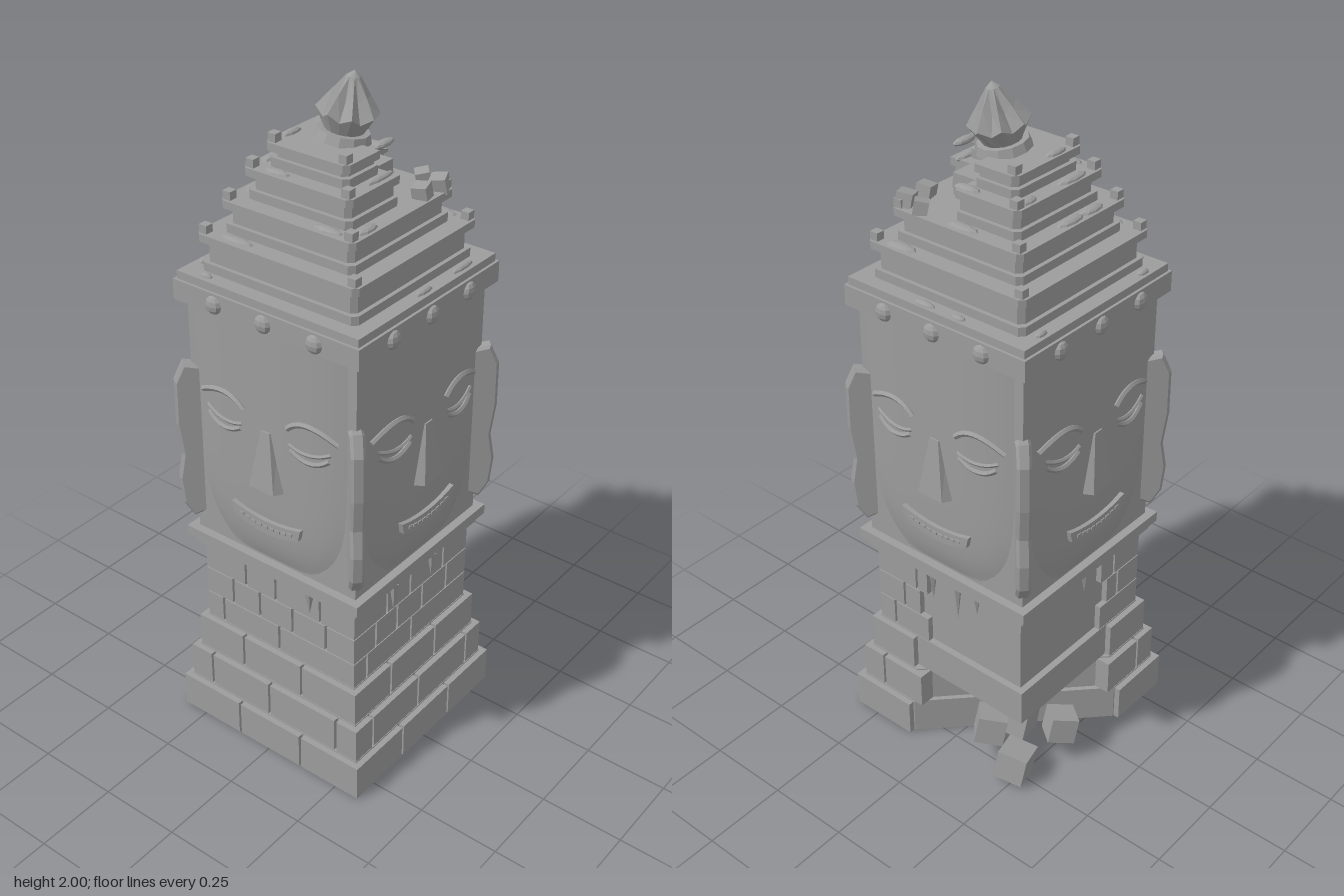
import * as THREE from 'three';

const stone = new THREE.MeshStandardMaterial({ color: 0x9c9c9c, flatShading: true });
stone.name = 'weathered grey stone';
const smoothStone = new THREE.MeshStandardMaterial({ color: 0x9c9c9c, side: THREE.DoubleSide });
smoothStone.name = 'smooth grey stone';

function add(parent, name, geometry, x = 0, y = 0, z = 0, material = stone) {
  const mesh = new THREE.Mesh(geometry, material);
  mesh.name = name;
  mesh.position.set(x, y, z);
  parent.add(mesh);
  return mesh;
}

// box given by its limits
function slab(parent, name, x0, x1, y0, y1, z0, z1) {
  return add(parent, name, new THREE.BoxGeometry(x1 - x0, y1 - y0, z1 - z0),
    (x0 + x1) / 2, (y0 + y1) / 2, (z0 + z1) / 2);
}

// upright prism over an outline of [x, z] points
function prism(parent, name, points, y0, y1) {
  const shape = new THREE.Shape(points.map(([x, z]) => new THREE.Vector2(x, -z)));
  const geo = new THREE.ExtrudeGeometry(shape, { depth: y1 - y0, bevelEnabled: false });
  geo.rotateX(-Math.PI / 2);
  return add(parent, name, geo, 0, y0, 0);
}

// square outline with clipped corners; notch removes the back left-hand quarter
function tierOutline(h, notch) {
  const c = 0.014;
  const corner = notch === null ? [[h - c, -h], [h, -h + c]]
    : [[notch, -h], [notch, -notch], [h, -notch]];
  return [...corner, [h, h - c], [h - c, h], [-h + c, h], [-h, h - c], [-h, -h + c], [-h + c, -h]];
}

// surface of the carved face
const chin = 0.67, brow = 1.4;
function faceWidth(y) {
  const t = (y - chin) / (brow - chin);
  return 0.13 + 0.125 * (1 - Math.pow(1 - t, 8));
}
function faceDepth(x, y) {
  const t = (y - chin) / (brow - chin);
  const u = Math.min(1, Math.abs(x) / faceWidth(y));
  return 0.279 + 0.025 * (1 - Math.pow(u, 3.5)) * (1 - Math.pow(1 - t, 12));
}

// raised arc lying on the face
function ridge(parent, name, x0, y0, xm, ym, x1, y1, r) {
  const flat = new THREE.QuadraticBezierCurve(
    new THREE.Vector2(x0, y0), new THREE.Vector2(xm, ym), new THREE.Vector2(x1, y1));
  const pts = flat.getPoints(8).map(p => new THREE.Vector3(p.x, p.y, faceDepth(p.x, p.y) + 0.002));
  add(parent, name, new THREE.TubeGeometry(new THREE.CatmullRomCurve3(pts), 12, r, 5));
}

function carvedFace() {
  const g = new THREE.Group();
  g.name = 'carvedFace';

  const panel = new THREE.PlaneGeometry(2, 1, 20, 28);
  const p = panel.attributes.position;
  for (let i = 0; i < p.count; i++) {
    const y = chin + (p.getY(i) + 0.5) * (brow - chin);
    const x = p.getX(i) * faceWidth(y);
    p.setXYZ(i, x, y, faceDepth(x, y));
  }
  panel.computeVertexNormals();
  add(g, 'facePanel', panel, 0, 0, 0, smoothStone);

  for (const s of [-1, 1]) {
    ridge(g, 'eyebrow', s * 0.075, 1.145, s * 0.13, 1.205, s * 0.23, 1.145, 0.009);
    ridge(g, 'upperEyelid', s * 0.08, 1.1, s * 0.14, 1.07, s * 0.21, 1.11, 0.006);
    ridge(g, 'lowerEyelid', s * 0.085, 1.085, s * 0.15, 1.04, s * 0.205, 1.09, 0.008);
  }

  // wedge nose, broad and deep at the base
  const nose = new THREE.BoxGeometry(1, 1, 1);
  const n = nose.attributes.position;
  for (let i = 0; i < n.count; i++) {
    const top = n.getY(i) > 0, front = n.getZ(i) > 0;
    n.setXYZ(i, n.getX(i) * (top ? 0.05 : 0.14) * (front ? 0.6 : 1),
      top ? 1.105 : 0.93, front ? (top ? 0.308 : 0.33) : 0.28);
  }
  add(g, 'nose', nose);

  const mouth = new THREE.Shape();
  mouth.moveTo(-0.12, 0.84);
  mouth.quadraticCurveTo(0, 0.805, 0.12, 0.84);
  mouth.lineTo(0.112, 0.805);
  mouth.quadraticCurveTo(0, 0.755, -0.112, 0.805);
  add(g, 'lips', new THREE.ExtrudeGeometry(mouth, { depth: 0.035, bevelEnabled: false }), 0, 0, 0.28);
  for (let i = -4; i <= 4; i++) {
    const x = i * 0.021;
    add(g, 'tooth', new THREE.BoxGeometry(0.015, 0.008, 0.004), x, 0.804 + x * x * 1.5, 0.316);
  }

  // round studs on the crown band
  for (const x of [-0.165, 0, 0.165]) {
    add(g, 'bandStud', new THREE.SphereGeometry(0.026, 8, 6), x, 1.425, 0.305).scale.z = 0.6;
  }
  return g;
}

function cornerEar() {
  const outline = [[0.36, 1.19], [0.415, 1.2], [0.437, 1.15], [0.438, 1.02], [0.425, 0.92],
    [0.438, 0.84], [0.43, 0.76], [0.405, 0.72], [0.36, 0.74]];
  const geo = new THREE.ExtrudeGeometry(new THREE.Shape(outline.map(q => new THREE.Vector2(...q))),
    { depth: 0.024, bevelEnabled: true, bevelSize: 0.008, bevelThickness: 0.008, bevelSegments: 1 });
  geo.translate(0, 0, -0.012);
  return geo;
}

export function createModel() {
  const model = new THREE.Group();
  model.name = 'stoneFaceTower';

  // stepped brick base: [bottom, top, half width, joints]
  const courses = [
    [0, 0.112, 0.33, [-0.11, 0.12]],
    [0.116, 0.226, 0.31, [-0.23, -0.01, 0.235]],
    [0.23, 0.338, 0.29, [-0.12, 0.095]],
    [0.342, 0.424, 0.27, [-0.21, 0, 0.22]],
    [0.428, 0.512, 0.27, [-0.17, -0.07, 0.05, 0.17]],
    [0.516, 0.605, 0.27, [-0.12, -0.01, 0.15]],
  ];
  const base = new THREE.Group();
  base.name = 'brickBase';
  model.add(base);
  courses.forEach(([y0, y1, h, joints], row) => {
    const c = h - 0.018, deep = 0.06;
    // core, broken away at one back corner in the two lowest courses
    if (row < 2) prism(base, 'brokenCore', [[0.11, -c], [c, -c], [c, c], [-c, c], [-c, 0.12]], y0, y1 + 0.004);
    else slab(base, 'core', -c, c, y0, y1 + 0.004, -c, c);
    for (let side = 0; side < 4; side++) {
      const wall = new THREE.Group();
      wall.name = 'brickWall';
      wall.rotation.y = side * Math.PI / 2;
      base.add(wall);
      const ragged = (row % 2) * 0.03;
      const from = side === 3 ? 0.12 - ragged : -h;
      const to = side === 2 ? -0.11 + ragged : h - deep;
      const ends = [-h, ...joints, h - deep];
      for (let i = 0; i + 1 < ends.length; i++) {
        const a = Math.max(from, ends[i] + (i ? 0.004 : 0));
        const b = Math.min(to, ends[i + 1] - (i + 2 < ends.length ? 0.004 : 0));
        if (b - a > 0.01) slab(wall, 'brick', a, b, y0, y1, h - deep, h);
      }
    }
  });

  // fallen blocks at the broken corner and on the roof: [x, y, z, size, turn]
  for (const [x, y, z, size, turn] of [
    [-0.24, 0.055, -0.26, 0.09, 0.3], [-0.13, 0.12, -0.24, 0.085, 0.7], [-0.28, 0.11, -0.1, 0.08, 0.9],
    [-0.18, 0.13, -0.17, 0.085, 0.2], [0.13, 1.69, -0.19, 0.038, 0.7],
    [0.19, 1.69, -0.18, 0.044, 0.4], [0.185, 1.69, -0.11, 0.042, 0.25]]) {
    add(model, 'fallenBlock', new THREE.BoxGeometry(size, size, size), x, y, z).rotation.set(0.15, turn, 0.1);
  }

  // ledges, head block and crown band: [name, half width, bottom, top]
  for (const [name, h, y0, y1] of [
    ['lowerLedge', 0.288, 0.609, 0.636], ['upperLedge', 0.305, 0.636, 0.667],
    ['headBlock', 0.28, 0.667, 1.4], ['crownBand', 0.305, 1.397, 1.457], ['crownCap', 0.297, 1.457, 1.48]]) {
    slab(model, name, -h, h, y0, y1, -h, h);
  }

  // hanging roots below the ledge
  for (const [x, z, len] of [[0.06, -0.265, 0.1], [-0.03, -0.262, 0.13], [-0.1, -0.26, 0.08],
    [-0.262, 0.02, 0.09], [0.278, 0.1, 0.1], [0.12, 0.278, 0.07], [0.278, -0.08, 0.08]]) {
    const root = add(model, 'hangingRoot', new THREE.ConeGeometry(0.014, len, 5), x, 0.612 - len / 2, z);
    root.rotation.x = Math.PI;
  }

  // the same face on each side, with a long ear on each corner
  const ear = cornerEar();
  for (let i = 0; i < 4; i++) {
    const face = carvedFace();
    face.rotation.y = i * Math.PI / 2;
    model.add(face);
    add(model, 'ear', ear).rotation.y = (i + 0.5) * Math.PI / 2;
  }

  // stepped roof: [half width, bottom, top, notch]
  const tiers = [[0.26, 1.48, 1.585, null], [0.215, 1.585, 1.675, null],
    [0.172, 1.675, 1.76, 0.03], [0.132, 1.76, 1.825, 0]];
  for (const [h, y0, y1, notch] of tiers) {
    prism(model, 'tierFoot', tierOutline(h - 0.006, notch), y0, y0 + 0.025);
    prism(model, 'tierBody', tierOutline(h - 0.018, notch), y0 + 0.025, y1 - 0.022);
    prism(model, 'tierCornice', tierOutline(h, notch), y1 - 0.022, y1);
    for (const sx of [-1, 1]) for (const sz of [-1, 1]) {
      if (notch !== null && sx > 0 && sz < 0) continue;
      add(model, 'cornerPost', new THREE.BoxGeometry(0.025, 0.03, 0.025), sx * (h - 0.02), y1 + 0.008, sz * (h - 0.02));
    }
  }
  slab(model, 'roofPlug', -0.1, 0.1, 1.7, 1.762, -0.1, 0.1);

  // worn mounds on the steps: [x, z, half length in x, half length in z]
  const mound = new THREE.SphereGeometry(1, 9, 6);
  for (const [x, z, rx, rz] of [
    [-0.07, -0.28, 0.022, 0.012], [0.045, -0.28, 0.037, 0.013], [0.16, -0.235, 0.05, 0.022],
    [-0.01, -0.19, 0.05, 0.02], [0.01, -0.148, 0.04, 0.019], [-0.148, -0.11, 0.018, 0.033],
    [-0.277, -0.21, 0.011, 0.022], [0.113, -0.04, 0.015, 0.042], [0.145, 0.02, 0.014, 0.06],
    [0.275, -0.17, 0.012, 0.05], [0.275, 0, 0.012, 0.037], [-0.19, 0.01, 0.018, 0.05],
    [-0.19, 0.095, 0.018, 0.045], [-0.15, 0.065, 0.018, 0.055], [-0.113, 0.045, 0.014, 0.038],
    [0.19, 0.13, 0.018, 0.042], [0.12, 0.19, 0.045, 0.018], [-0.14, 0.232, 0.052, 0.019],
    [-0.075, 0.148, 0.04, 0.018], [-0.277, 0.21, 0.012, 0.023], [-0.213, 0.275, 0.02, 0.01]]) {
    const reach = Math.max(Math.abs(x), Math.abs(z));
    const y = tiers.reduce((top, t) => (reach < t[0] ? t[2] : top), 1.48);
    add(model, 'wornMound', mound, x, y, z).scale.set(rx, 0.01, rz);
  }

  // tilted lotus bud finial with a jagged petal rim
  const finial = new THREE.Group();
  finial.name = 'finial';
  finial.position.set(0.008, 1.825, -0.01);
  finial.rotation.set(-0.12, 0, -0.12);
  model.add(finial);
  add(finial, 'finialDisk', new THREE.CylinderGeometry(0.068, 0.075, 0.024, 12), 0, 0.01, 0);
  const profile = [[0, 0.015], [0.05, 0.02], [0.083, 0.075], [0.05, 0.12], [0.018, 0.162], [0, 0.177]];
  const bud = new THREE.LatheGeometry(profile.map(q => new THREE.Vector2(...q)), 16);
  const b = bud.attributes.position;
  for (let i = 0; i < b.count; i++) {
    const ring = i % profile.length, odd = Math.floor(i / profile.length) % 2;
    if (odd && (ring === 2 || ring === 3)) {
      b.setXYZ(i, b.getX(i) * 0.82, b.getY(i) - 0.018, b.getZ(i) * 0.82);
    }
  }
  add(finial, 'lotusBud', bud);

  return model;
}
